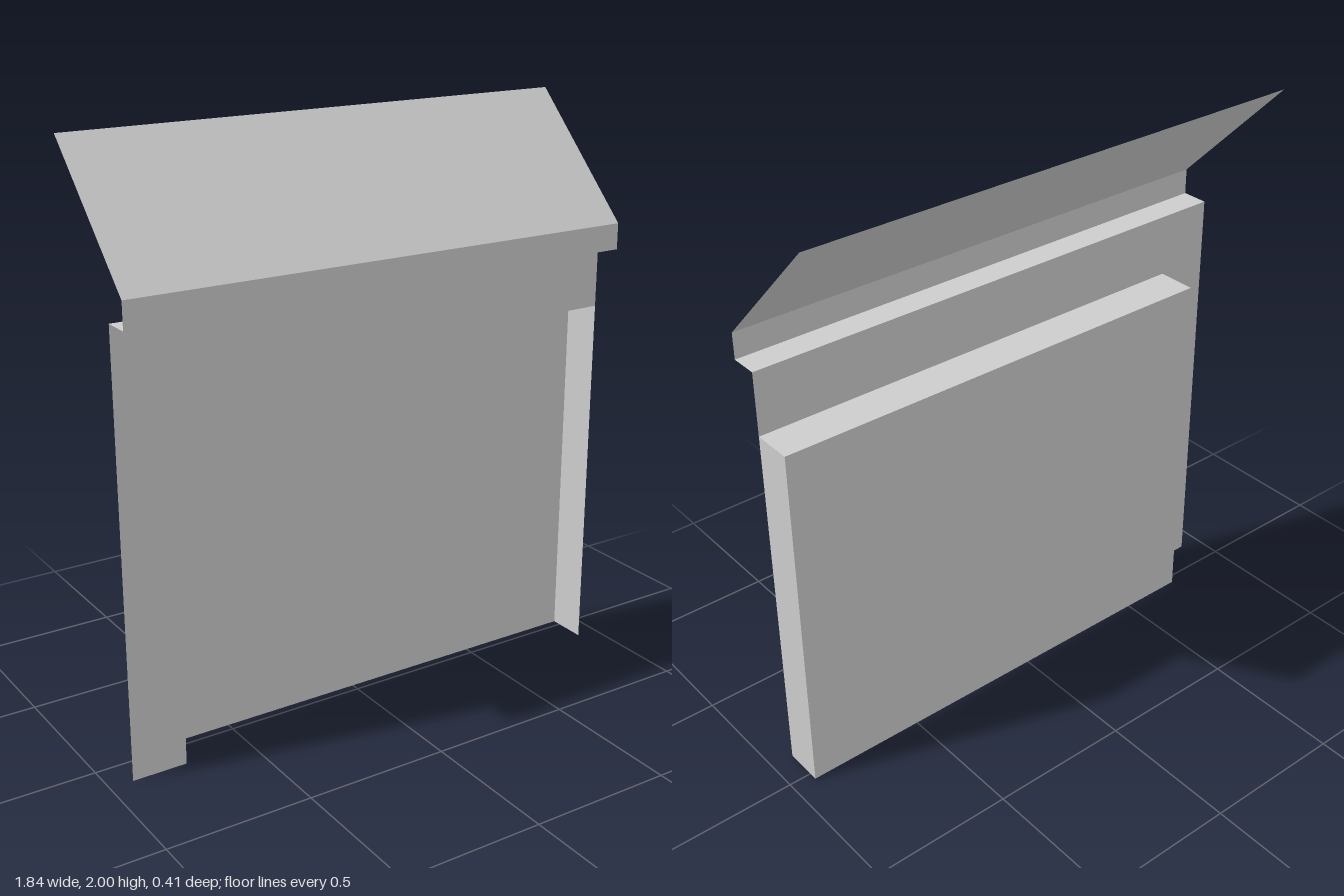
import * as THREE from 'three';

export function createModel() {
  const model = new THREE.Group();
  const plaster = new THREE.MeshStandardMaterial({ color: 0xcccccc, side: THREE.DoubleSide });
  plaster.name = 'paleGrey';

  // Outer limits, and the recess that runs out to the open left end
  const X = 0.92, jambX = -0.73, recessTop = 1.28;
  const wallZ = 0.11, panelZ = -0.03;
  const eaveLow = 1.5, eaveHigh = 1.59, eaveZ = 0.205;

  // Flat sheet spanned by two edge vectors from one corner
  function sheet(name, corner, u, v) {
    const a = new THREE.Vector3(...corner);
    const b = a.clone().add(new THREE.Vector3(...u));
    const d = a.clone().add(new THREE.Vector3(...v));
    const c = b.clone().add(new THREE.Vector3(...v));
    const geometry = new THREE.BufferGeometry().setFromPoints([a, b, c, a, c, d]);
    geometry.computeVertexNormals();
    const mesh = new THREE.Mesh(geometry, plaster);
    mesh.name = name;
    model.add(mesh);
  }

  // Front wall: one L-shaped face around the recess
  const outline = [[-X, 0], [jambX, 0], [jambX, recessTop], [X, recessTop], [X, eaveLow], [-X, eaveLow]];
  const wall = new THREE.Mesh(
    new THREE.ShapeGeometry(new THREE.Shape(outline.map(p => new THREE.Vector2(...p)))), plaster);
  wall.name = 'frontWall';
  wall.position.z = wallZ;
  model.add(wall);

  // Recess: back panel, two side returns and the ceiling
  const width = X - jambX, depth = wallZ - panelZ;
  sheet('recessPanel', [jambX, 0, panelZ], [width, 0, 0], [0, recessTop, 0]);
  for (const [name, x] of [['innerJamb', jambX], ['endJamb', X]]) {
    sheet(name, [x, 0, wallZ], [0, 0, -depth], [0, recessTop, 0]);
  }
  sheet('recessCeiling', [jambX, recessTop, panelZ], [width, 0, 0], [0, 0, depth]);

  // Eave and the roof slope rising backwards
  sheet('eaveSoffit', [-X, eaveLow, wallZ], [2 * X, 0, 0], [0, 0, eaveZ - wallZ]);
  sheet('fascia', [-X, eaveLow, eaveZ], [2 * X, 0, 0], [0, eaveHigh - eaveLow, 0]);
  sheet('roofSlope', [-X, eaveHigh, eaveZ], [2 * X, 0, 0], [0, 2 - eaveHigh, -2 * eaveZ]);

  return model;
}
